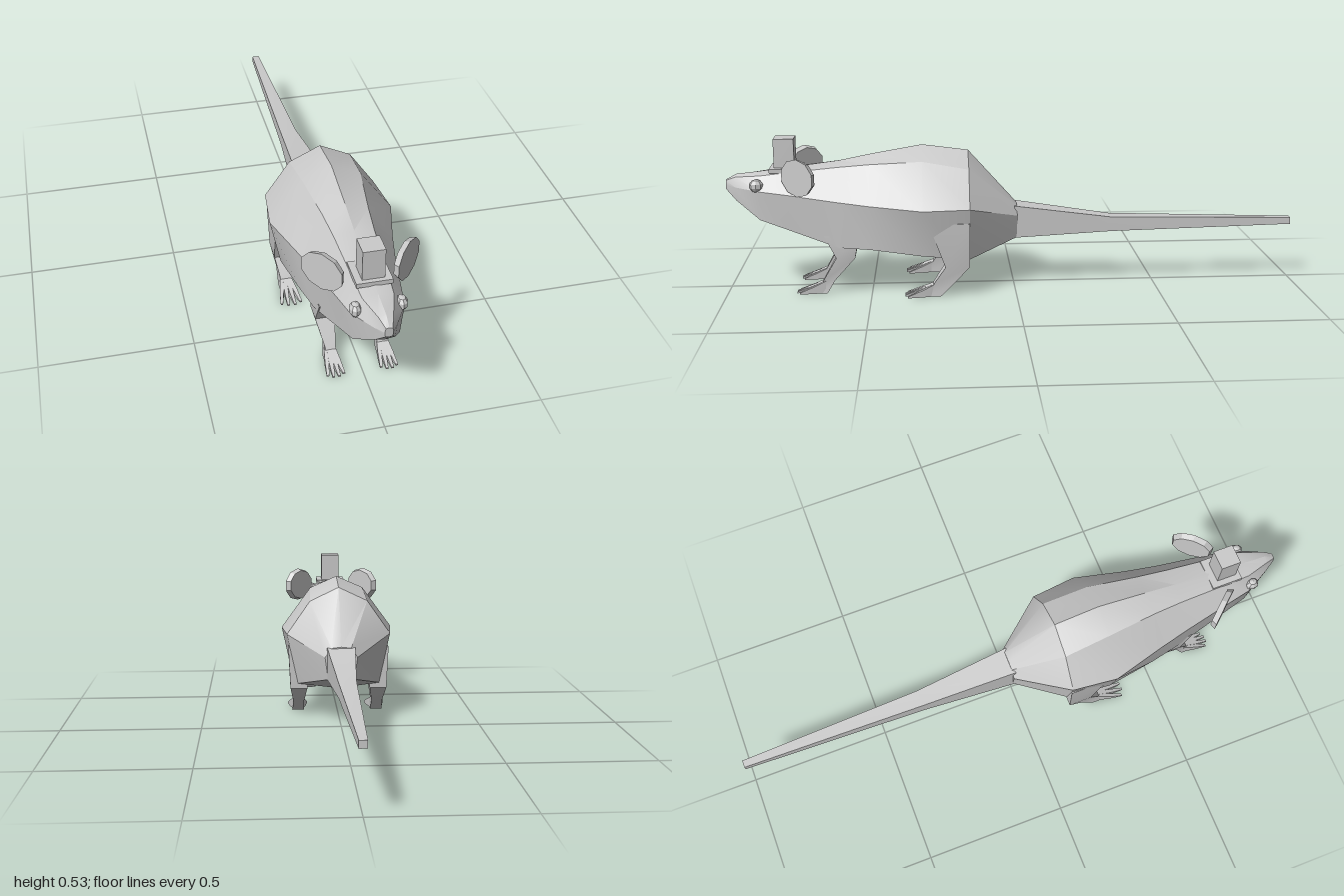
import * as THREE from 'three';
import { toCreasedNormals } from 'three/addons/utils/BufferGeometryUtils.js';

const material = new THREE.MeshStandardMaterial({ color: 0xcccccc });

function part(name, geometry, parent, crease = 0.4) {
  const mesh = new THREE.Mesh(toCreasedNormals(geometry, crease), material);
  mesh.name = name;
  parent.add(mesh);
  return mesh;
}

// Skin over rings of points (counterclockwise seen from the first end), capped at both ends
function loft(rings) {
  const n = rings[0].length;
  const index = [];
  for (let r = 0; r < rings.length - 1; r++) {
    for (let i = 0; i < n; i++) {
      const a = r * n + i, b = r * n + (i + 1) % n;
      index.push(a, a + n, b, b, a + n, b + n);
    }
  }
  const last = (rings.length - 1) * n;
  for (let i = 1; i < n - 1; i++) {
    index.push(0, i, i + 1, last, last + i + 1, last + i);
  }
  const geometry = new THREE.BufferGeometry();
  geometry.setAttribute('position', new THREE.Float32BufferAttribute(rings.flat(2), 3));
  geometry.setIndex(index);
  return geometry;
}

// Symmetric eight-point section: ridge, shoulder, flank, belly edge, belly
function bodyRing([z, top, ux, uy, sx, sy, lx, ly, bottom]) {
  return [[0, top, z], [-ux, uy, z], [-sx, sy, z], [-lx, ly, z],
    [0, bottom, z], [lx, ly, z], [sx, sy, z], [ux, uy, z]];
}

// Upright rectangle facing z
function boxRing(x, hw, top, bottom, z) {
  return [[x + hw, top, z], [x - hw, top, z], [x - hw, bottom, z], [x + hw, bottom, z]];
}

function makeLeg(name, side, sections, toeRoot, toeTip, spread, parent) {
  const leg = new THREE.Group();
  leg.name = name;
  parent.add(leg);
  part('shin', loft(sections.map(([y, cx, hw, front, back]) => {
    const x = cx * side;
    return [[x + hw, y, front], [x + hw, y, back], [x - hw, y, back], [x - hw, y, front]];
  })), leg);
  // Four splayed, tapering toes
  const x = sections[sections.length - 1][1] * side;
  for (const k of [-1, -0.35, 0.35, 1]) {
    const tip = toeTip - Math.abs(k) * 0.015;
    part('toe', loft([
      boxRing(x + k * spread, 0.004, 0.005, 0, tip),
      boxRing(x + k * spread * 0.7, 0.007, 0.023, 0, (toeRoot + tip) / 2),
      boxRing(x + k * 0.012, 0.006, 0.043, 0, toeRoot),
    ]), leg);
  }
}

export function createModel() {
  const rat = new THREE.Group();
  rat.name = 'rat';

  // Head and body, nose to rump
  part('body', loft([
    [1.0, 0.388, 0.01, 0.386, 0.013, 0.372, 0.011, 0.356, 0.354],
    [0.965, 0.407, 0.022, 0.4, 0.035, 0.366, 0.03, 0.32, 0.315],
    [0.88, 0.416, 0.048, 0.408, 0.083, 0.36, 0.072, 0.258, 0.243],
    [0.78, 0.428, 0.055, 0.42, 0.102, 0.35, 0.092, 0.225, 0.212],
    [0.61, 0.45, 0.065, 0.438, 0.135, 0.33, 0.125, 0.168, 0.165],
    [0.5, 0.472, 0.075, 0.448, 0.16, 0.32, 0.148, 0.165, 0.137],
    [0.32, 0.503, 0.098, 0.46, 0.207, 0.31, 0.172, 0.145, 0.12],
    [0.16, 0.482, 0.105, 0.432, 0.19, 0.31, 0.15, 0.125, 0.105],
    [-0.01, 0.292, 0.035, 0.288, 0.058, 0.255, 0.047, 0.175, 0.172],
  ].map(bodyRing)), rat);

  // Long square tail
  part('tail', loft([
    boxRing(0, 0.05, 0.288, 0.173, 0),
    boxRing(0, 0.03, 0.238, 0.186, -0.345),
    boxRing(0, 0.013, 0.221, 0.197, -1),
  ]), rat);

  for (const side of [1, -1]) {
    const label = side > 0 ? 'left' : 'right';

    makeLeg(label + 'FrontLeg', side, [
      [0.21, 0.085, 0.036, 0.66, 0.54],
      [0.13, 0.092, 0.032, 0.62, 0.555],
      [0.045, 0.085, 0.017, 0.668, 0.628],
      [0, 0.087, 0.02, 0.69, 0.655],
    ], 0.66, 0.765, 0.026, rat);

    makeLeg(label + 'RearLeg', side, [
      [0.26, 0.14, 0.045, 0.3, 0.16],
      [0.105, 0.147, 0.031, 0.245, 0.162],
      [0.045, 0.147, 0.02, 0.285, 0.215],
      [0, 0.148, 0.022, 0.305, 0.262],
    ], 0.28, 0.39, 0.033, rat);

    // Thin oval ear, turned forwards and outwards
    const earShape = new THREE.CylinderGeometry(0.065, 0.058, 0.02, 10).rotateX(Math.PI / 2);
    earShape.scale(1.2, 1, 1);
    const ear = part(label + 'Ear', earShape, rat);
    ear.position.set(0.128 * side, 0.416, 0.737);
    ear.rotation.y = 0.85 * side;

    // Small faceted eye
    const eye = part(label + 'Eye', new THREE.SphereGeometry(0.024, 8, 5), rat);
    eye.scale.set(0.8, 1, 1);
    eye.position.set(0.07 * side, 0.378, 0.888);
  }

  // Square top hat
  const hat = new THREE.Group();
  hat.name = 'hat';
  rat.add(hat);
  part('brim', new THREE.BoxGeometry(0.112, 0.015, 0.11), hat).position.set(0, 0.425, 0.79);
  part('crown', new THREE.BoxGeometry(0.07, 0.104, 0.07), hat).position.set(0, 0.481, 0.795);

  return rat;
}
